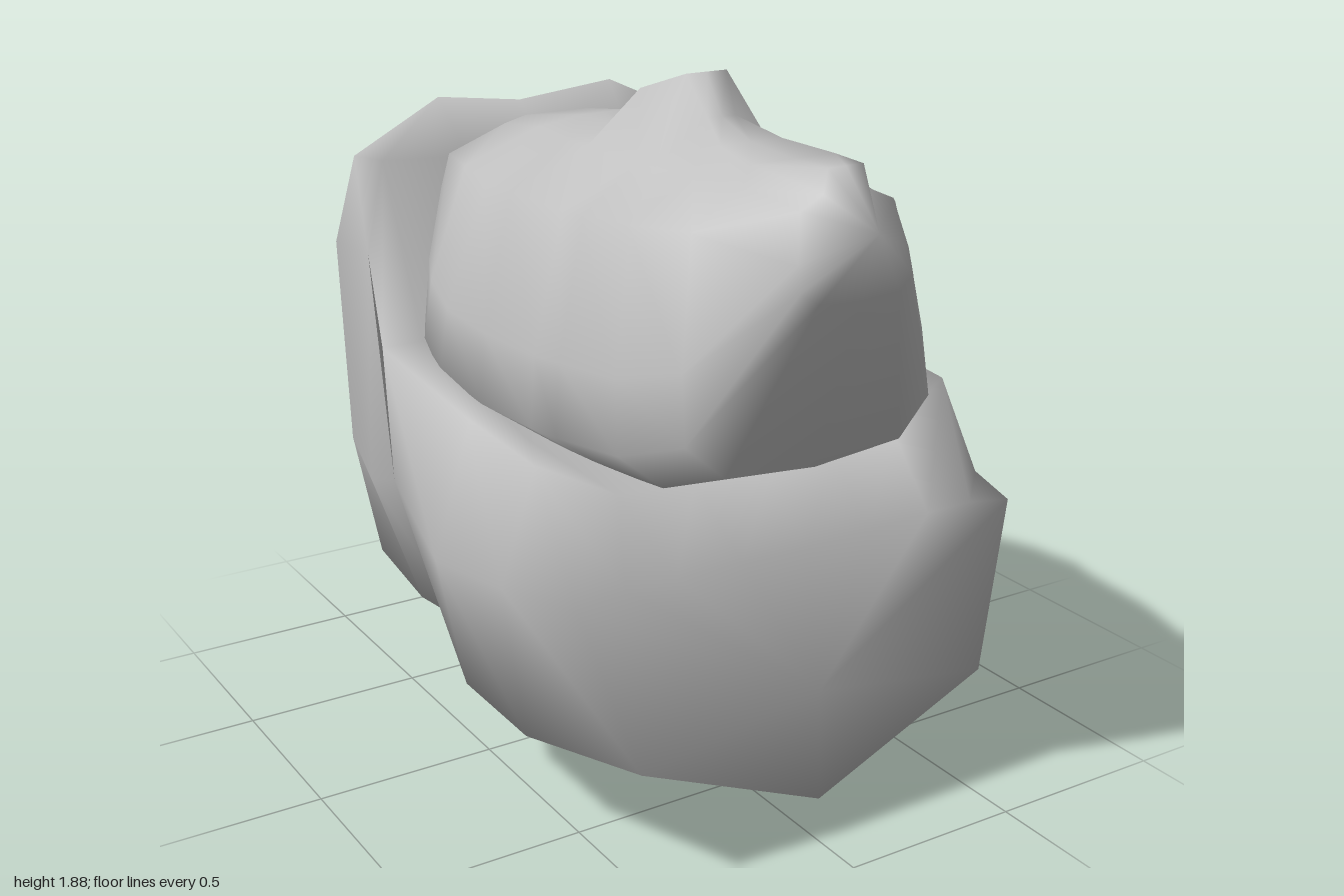
import * as THREE from 'three';

// Skins mirrored half cross-sections (bottom centre -> side -> top centre), ordered front to back.
function skin(name, halves, frontTip, backTip, material) {
  const points = halves.flatMap((h) => [
    ...h,
    ...h.slice(1, -1).reverse().map((p) => new THREE.Vector3(-p.x, p.y, p.z)),
  ]);
  const n = 2 * halves[0].length - 2;
  const last = points.length - n, front = points.length, back = front + 1;
  points.push(frontTip, backTip);
  const index = [];
  for (let j = 0; j < n; j++) {
    const k = (j + 1) % n;
    for (let a = 0; a < last; a += n) {
      index.push(a + j, a + n + j, a + k, a + k, a + n + j, a + n + k);
    }
    index.push(front, j, k, back, last + k, last + j);
  }
  const geo = new THREE.BufferGeometry().setFromPoints(points);
  geo.setIndex(index);
  geo.computeVertexNormals();
  const mesh = new THREE.Mesh(geo, material);
  mesh.name = name;
  return mesh;
}

const point = ([x, y, z]) => new THREE.Vector3(x, y, z);
const centrePoint = ([y, z]) => new THREE.Vector3(0, y, z);

// Cupped base: long rails running from the front face to the back wall
function cuppedBase(material) {
  const keel = [[.12, .85], [0, .48], [.09, .06], [.08, -.2], [.06, -.5], [.26, -.83], [.5, -.89]].map(centrePoint);
  const chine = [[.52, .34, .84], [.62, .29, .45], [.62, .29, .12], [.47, .3, -.22], [.47, .27, -.47], [.49, .34, -.7], [.25, .48, -.91]].map(point);
  const side = [[.65, .77, .77], [.73, .76, .55], [.79, .76, .32], [.66, .77, -.2], [.62, .68, -.45], [.59, .74, -.64], [.23, .75, -1]].map(point);
  const rim = [[.52, .79, .77], [.62, 1.04, .52], [.63, 1.06, .2], [.62, 1.1, -.33], [.61, 1.34, -.42], [.63, 1.34, -.59], [.26, 1.1, -.945]].map(point);
  const lip = [[.38, .79, .77], [.42, .94, .57], [.46, .97, .2], [.5, 1.1, -.33], [.52, 1.57, -.5], [.56, 1.57, -.6], [.28, 1.45, -.89]].map(point);
  const centre = [[.78, .77], [.92, .6], [.93, .2], [1.05, -.33], [1.54, -.5], [1.66, -.68], [1.45, -.86]].map(centrePoint);
  const wallTop = 5;

  const halves = keel.map((bottom, i) => {
    const crest = lip[i].clone().lerp(centre[i], .5);
    if (i === wallTop) crest.y += .085;
    return [bottom, chine[i], side[i], rim[i], lip[i], crest, centre[i]];
  });
  return skin('cuppedBase', halves, centrePoint([.42, .84]), centrePoint([.95, -.91]), material);
}

// Upper form: one rounded section, scaled along the body
function upperForm(material) {
  // belly z, belly y, top z, top y, half width, crest half width
  const stations = [
    [.94, 1.45, .87, 1.75, .16, .05],
    [.79, 1, .67, 1.73, .36, .12],
    [.6, .92, .5, 1.74, .43, .09],
    [.38, .91, .37, 1.78, .48, .04],
    [.28, .91, .3, 1.88, .5, .06],
    [.05, .91, .07, 1.81, .52, .05],
    [-.17, .95, -.02, 1.7, .54, .06],
    [-.34, 1, -.2, 1.7, .5, .07],
    [-.5, 1.1, -.46, 1.66, .41, .1],
  ];
  // width and height fractions: belly, jaw, cheek, upper cheek, temple, shoulder
  const section = [[0, 0], [.72, .03], [1, .16], [.98, .4], [.82, .85], [.4, .97]];

  const halves = stations.map(([bellyZ, bellyY, topZ, topY, width, crest]) => {
    const sides = section.map(([w, h]) => point([
      w * width,
      THREE.MathUtils.lerp(bellyY, Math.min(topY, 1.7), h),
      THREE.MathUtils.lerp(bellyZ, topZ, h),
    ]));
    return [...sides, point([crest, topY, topZ]), centrePoint([topY, topZ])];
  });
  return skin('upperForm', halves, centrePoint([1.62, 1]), centrePoint([1.4, -.53]), material);
}

export function createModel() {
  const grey = new THREE.MeshStandardMaterial({ color: 0xc0c0c0 });
  grey.name = 'stone grey';
  const group = new THREE.Group();
  group.name = 'cradledForm';
  group.add(cuppedBase(grey), upperForm(grey));
  return group;
}
